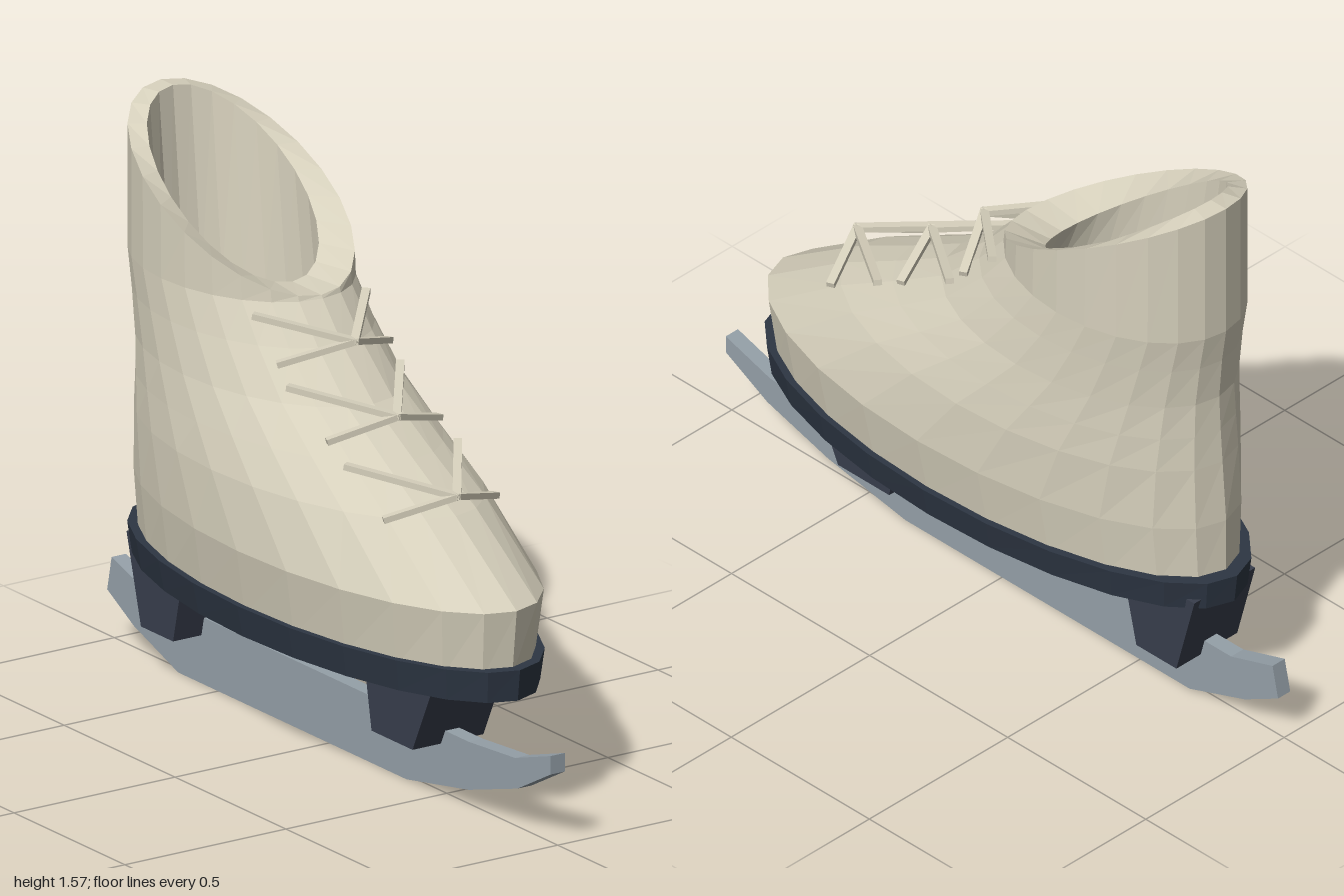
import * as THREE from 'three';

const SIDES = 24;

const mat = (name, color, opts = {}) => {
  const m = new THREE.MeshStandardMaterial({ color, flatShading: true, ...opts });
  m.name = name;
  return m;
};

// Elliptical ring; angle 0 is the front (+z). yAt may vary the height by angle.
function ring(front, back, halfWidth, yAt) {
  const c = (front + back) / 2, r = (front - back) / 2, pts = [];
  for (let i = 0; i < SIDES; i++) {
    const a = (i / SIDES) * Math.PI * 2;
    pts.push([halfWidth * Math.sin(a), typeof yAt === 'function' ? yAt(a) : yAt, c + r * Math.cos(a)]);
  }
  return pts;
}

// Skin a list of rings, with optional flat caps on the first and last
function loft(rings, capStart, capEnd) {
  const pos = [], idx = [];
  rings.forEach(r => r.forEach(p => pos.push(...p)));
  for (let k = 0; k < rings.length - 1; k++) {
    for (let i = 0; i < SIDES; i++) {
      const j = (i + 1) % SIDES;
      const a = k * SIDES + i, b = k * SIDES + j;
      idx.push(a, b, b + SIDES, a, b + SIDES, a + SIDES);
    }
  }
  const last = (rings.length - 1) * SIDES;
  for (let i = 1; i < SIDES - 1; i++) {
    if (capStart) idx.push(0, i + 1, i);
    if (capEnd) idx.push(last, last + i, last + i + 1);
  }
  const g = new THREE.BufferGeometry();
  g.setAttribute('position', new THREE.Float32BufferAttribute(pos, 3));
  g.setIndex(idx);
  const flat = g.toNonIndexed();
  flat.computeVertexNormals();
  return flat;
}

// Side profile given as [z, y], extruded across x
function sidePlate(points, width) {
  const shape = new THREE.Shape(points.map(([z, y]) => new THREE.Vector2(-z, y)));
  const g = new THREE.ExtrudeGeometry(shape, { depth: width, bevelEnabled: false });
  g.translate(0, 0, -width / 2);
  g.rotateY(Math.PI / 2);
  return g;
}

export function createModel() {
  const skate = new THREE.Group();
  skate.name = 'iceSkate';
  const leather = mat('cream leather', 0xd6d0bc);
  const soleMat = mat('dark sole', 0x2d3643);
  const mountMat = mat('slate mount', 0x383e4c);
  const steel = mat('blade steel', 0x95a0a8);

  const add = (name, geometry, material, parent = skate) => {
    const m = new THREE.Mesh(geometry, material);
    m.name = name;
    parent.add(m);
    return m;
  };

  // Boot: outer skin up to the slanted rim, then over and down to the insole
  const rim = a => 1.378 - 0.19 * Math.cos(a);
  add('boot', loft([
    ring(0.795, -0.79, 0.285, 0.40),
    ring(0.815, -0.79, 0.317, 0.58),
    ring(0.54, -0.777, 0.306, 0.76),
    ring(0.35, -0.77, 0.288, 0.86),
    ring(0.17, -0.765, 0.27, 0.96),
    ring(0.03, -0.775, 0.257, 1.08),
    ring(-0.06, -0.79, 0.25, 1.18),
    ring(-0.065, -0.79, 0.25, rim),
    ring(-0.195, -0.735, 0.192, rim),
    ring(-0.14, -0.685, 0.185, 1.05),
  ], true, true), leather);

  // Sole
  add('sole', loft([
    ring(0.82, -0.82, 0.29, 0.34),
    ring(0.83, -0.83, 0.307, 0.425),
  ], true, true), soleMat);

  // Blade mounts
  add('frontMount', sidePlate([[0.61, 0.36], [0.505, 0.14], [0.32, 0.14], [0.28, 0.36]], 0.22), mountMat);
  add('rearMount', sidePlate([[-0.52, 0.37], [-0.575, 0.13], [-0.72, 0.13], [-0.785, 0.37]], 0.22), mountMat);

  // Blade with turned-up ends
  add('blade', sidePlate([
    [1, 0.245], [0.84, 0.195], [0.63, 0.18], [-0.83, 0.18], [-0.98, 0.228], [-1, 0.135],
    [-0.88, 0.07], [-0.68, 0], [0.35, 0], [0.63, 0.05], [0.85, 0.115], [1, 0.195],
  ], 0.044), steel);

  // Laces: each row is four strands meeting at the middle
  const laces = new THREE.Group();
  laces.name = 'laces';
  skate.add(laces);
  const strand = (from, to) => {
    const a = new THREE.Vector3(...from), b = new THREE.Vector3(...to);
    const m = add('laceStrand', new THREE.BoxGeometry(0.022, 0.016, a.distanceTo(b) + 0.012), leather, laces);
    m.position.copy(a).add(b).multiplyScalar(0.5);
    m.lookAt(b);
  };
  const rows = [
    { mid: [1.105, 0.085], upper: [1.15, -0.115], lower: [1.05, -0.01] },
    { mid: [0.955, 0.275], upper: [1.0, 0.04], lower: [0.905, 0.215] },
    { mid: [0.815, 0.545], upper: [0.86, 0.3], lower: [0.765, 0.47] },
  ];
  for (const { mid, upper, lower } of rows) {
    for (const s of [-1, 1]) {
      strand([s * 0.172, ...upper], [0, ...mid]);
      strand([s * 0.17, ...lower], [0, ...mid]);
    }
  }
  return skate;
}
